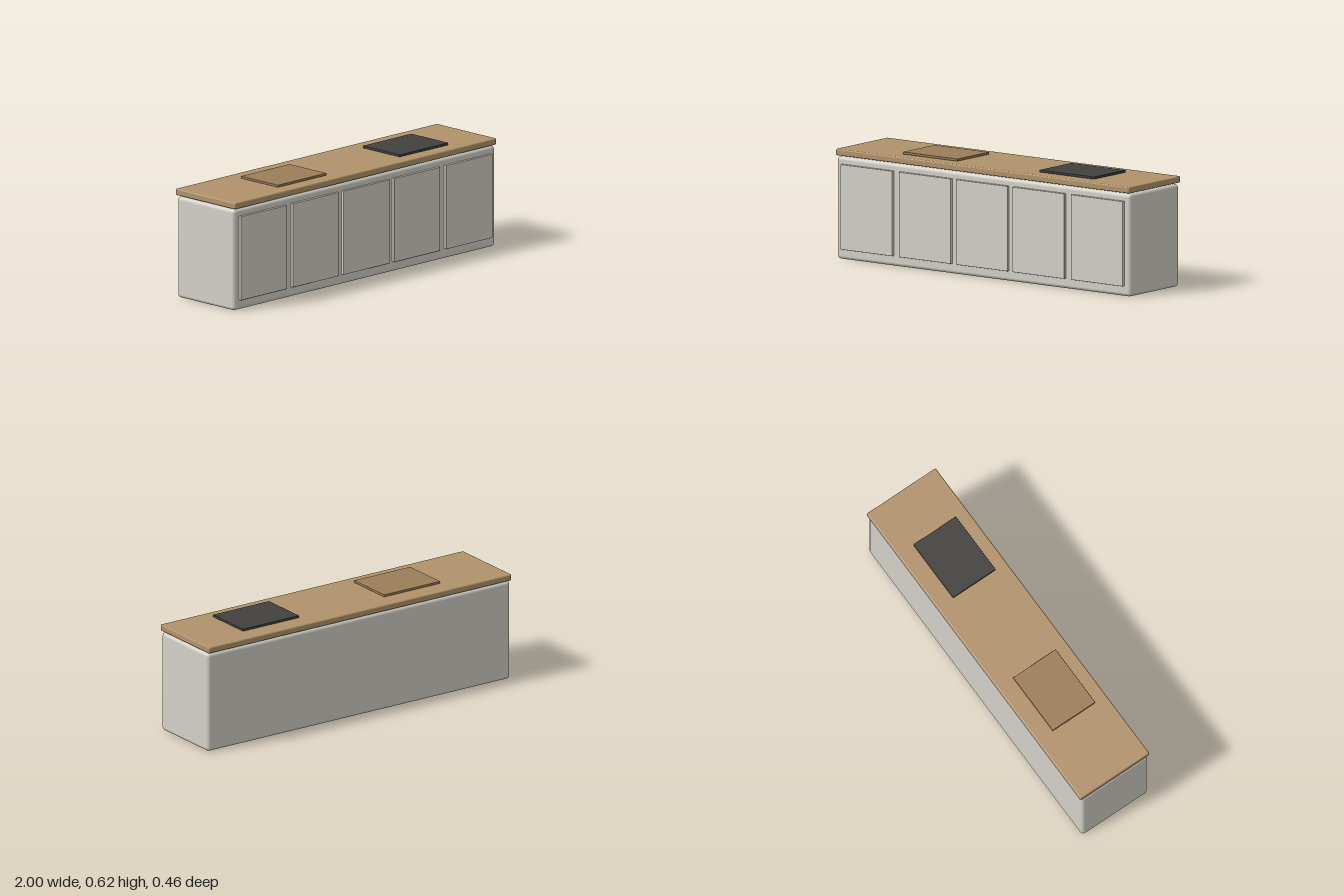
import * as THREE from 'three';
import { RoundedBoxGeometry } from 'three/addons/geometries/RoundedBoxGeometry.js';

const material = (color) => new THREE.MeshStandardMaterial({ color });

export function createModel() {
  const group = new THREE.Group();
  const paint = material(0xd4d1c8);
  const wood = material(0xb1926b);
  const boardWood = material(0x9c7d58);
  const dark = material(0x424140);

  // Rounded block given by its centre x and its y and z ranges
  const block = (name, mat, x, width, [y0, y1], [z0, z1], radius, segments = 3) => {
    const geometry = new RoundedBoxGeometry(width, y1 - y0, z1 - z0, segments, radius);
    const mesh = new THREE.Mesh(geometry, mat);
    mesh.name = name;
    mesh.position.set(x, (y0 + y1) / 2, (z0 + z1) / 2);
    group.add(mesh);
  };

  // Cabinet body and the worktop just above it
  block('cabinetBody', paint, 0, 2, [0, 0.561], [-0.219, 0.214], 0.02, 4);
  block('worktop', wood, 0, 2, [0.566, 0.602], [-0.23, 0.224], 0.008);

  // Row of five door panels on the front
  [-0.785, -0.387, 0, 0.387, 0.785].forEach((x, i) => {
    block(`doorPanel${i + 1}`, paint, x, 0.353, [0.056, 0.521], [0.206, 0.23], 0.002, 2);
  });

  // Cutting board and cooktop lying on the worktop
  block('cuttingBoard', boardWood, -0.413, 0.371, [0.604, 0.617], [-0.13, 0.15], 0.002, 2);
  block('cooktop', dark, 0.519, 0.371, [0.604, 0.617], [-0.13, 0.15], 0.002, 2);

  return group;
}
